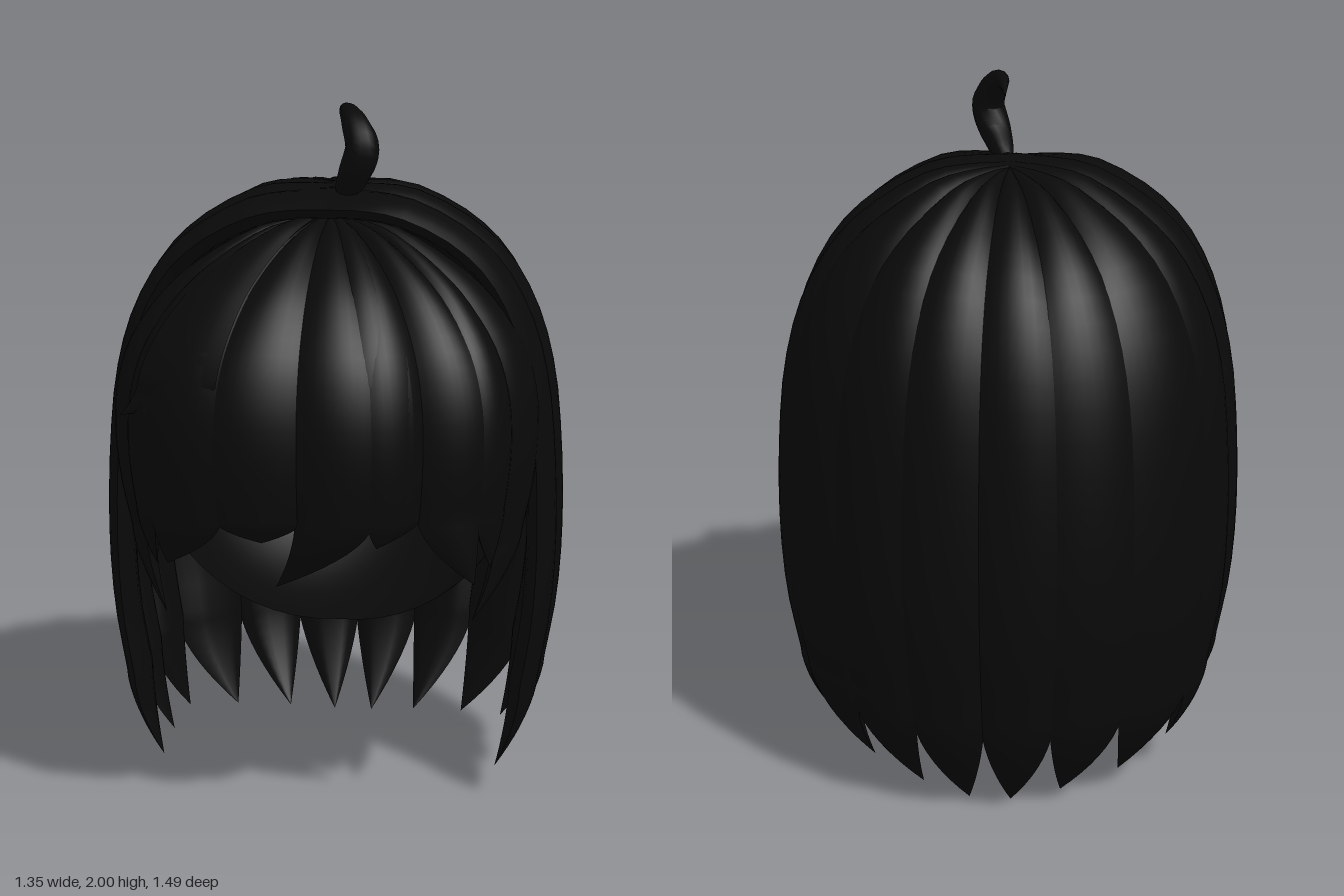
import * as THREE from 'three';

const hairBlack = new THREE.MeshStandardMaterial({ color: 0x090909, side: THREE.DoubleSide });
hairBlack.name = 'hairBlack';

const V = (x, y, z) => new THREE.Vector3(x, y, z);

// Skin a list of closed rings with equal point counts
function loft(name, rings) {
  const n = rings[0].length, pos = [], idx = [];
  rings.forEach(r => r.forEach(p => pos.push(p.x, p.y, p.z)));
  for (let i = 0; i < rings.length - 1; i++) {
    for (let j = 0; j < n; j++) {
      const a = i * n + j, b = i * n + (j + 1) % n;
      idx.push(a, a + n, b, b, a + n, b + n);
    }
  }
  const g = new THREE.BufferGeometry();
  g.setAttribute('position', new THREE.Float32BufferAttribute(pos, 3));
  g.setIndex(idx);
  g.computeVertexNormals();
  const m = new THREE.Mesh(g, hairBlack);
  m.name = name;
  return m;
}

// Profiles: x = share of the way from parting to widest outline, y = height
const curve = pts => new THREE.CatmullRomCurve3(pts.map(([r, y]) => V(r, y, 0)));
const longProfile = curve([[0, 1.765], [0.15, 1.757], [0.34, 1.73], [0.59, 1.645], [0.76, 1.54], [0.885, 1.39],
  [0.955, 1.22], [0.99, 1], [1, 0.75], [0.98, 0.54], [0.93, 0.35]]);
const fringeProfile = curve([[0, 1.7], [0.33, 1.645], [0.6, 1.56], [0.77, 1.475], [0.92, 1.35],
  [0.985, 1.23], [1, 1.1], [0.975, 0.95], [0.93, 0.82]]);

// Point pushed away from the middle of the head
function push(p, d) {
  const c = V(0, Math.min(p.y, 1.1), -0.05);
  return p.clone().add(p.clone().sub(c).normalize().multiplyScalar(d));
}

// One strand between two edges; each edge = { root: [y, z], wide: [x, z] }
function strand(name, profile, a, b, tip, { end = 1, bulge = 0.028, thick = 0.05, lift = 0 } = {}) {
  const ACROSS = 8, ROWS = 24, TIPROWS = 9;
  const top = profile.getPoint(0).y;
  const edgePoint = (e, q) => V(
    e.wide[0] * q.x,
    q.y + (e.root[0] - top) * (1 - q.x),
    THREE.MathUtils.lerp(e.root[1], e.wide[1], q.x));
  const ringAt = t => {
    const q = profile.getPoint(t * end), A = edgePoint(a, q), B = edgePoint(b, q);
    const outer = [], inner = [];
    for (let j = 0; j <= ACROSS; j++) {
      const s = j / ACROSS, w = 2 * s - 1;
      const p = A.clone().lerp(B, -0.04 + 1.08 * s);
      outer.push(push(p, lift + bulge * (1 - w * w) * Math.min(1, q.x * 3)));
      inner.unshift(push(p, lift - thick * (1 - w ** 4)));
    }
    return outer.concat(inner);
  };
  const rings = [];
  for (let i = 0; i <= ROWS; i++) rings.push(ringAt(i / ROWS));
  const last = rings[ROWS], T = V(...tip);
  // leaf-shaped point: height falls evenly, sides close in late
  for (let i = 1; i <= TIPROWS; i++) {
    const u = i / TIPROWS, k = u ** 1.65;
    rings.push(last.map(p => V(
      THREE.MathUtils.lerp(p.x, T.x, k),
      THREE.MathUtils.lerp(p.y, T.y, u),
      THREE.MathUtils.lerp(p.z, T.z, k))));
  }
  return loft(name, rings);
}

export function createModel() {
  const model = new THREE.Group();
  model.name = 'hair';

  // Long back and side hair, mirrored about the parting
  const long = new THREE.Group();
  long.name = 'longHair';
  const longEdges = [
    [1.765, -0.07, 0, -0.725], [1.765, -0.07, 0.21, -0.715], [1.765, -0.07, 0.41, -0.615],
    [1.77, -0.06, 0.595, -0.41], [1.77, -0.02, 0.645, -0.165], [1.765, 0.1, 0.645, 0.05],
    [1.72, 0.27, 0.605, 0.28]];
  const longTips = [[0.06, 0, -0.52], [0.2, 0.02, -0.48], [0.36, 0.05, -0.39],
    [0.49, 0.09, -0.24], [0.5, 0.09, -0.01], [0.49, 0.09, 0.22]];
  for (const s of [1, -1]) {
    const edges = longEdges.map(([y, z, x, zw]) => ({ root: [y, z], wide: [x * s, zw] }));
    longTips.forEach(([x, y, z], i) => {
      long.add(strand(i < 3 ? 'backStrand' : 'sideStrand', longProfile, edges[i], edges[i + 1], [x * s, y, z]));
    });
  }
  model.add(long);

  // Inner cap lining the back of the hair
  const cap = new THREE.Mesh(new THREE.SphereGeometry(1, 40, 28, Math.PI - 0.25, Math.PI + 0.5), hairBlack);
  cap.name = 'innerCap';
  cap.scale.set(0.59, 0.63, 0.6);
  cap.position.set(0, 1.07, -0.06);
  model.add(cap);

  // Fringe, fanned out from under the front of the long hair
  const fringe = new THREE.Group();
  fringe.name = 'fringe';
  const fringeEdge = (x, z) => ({ root: [1.7, 0.12], wide: [x, z] });
  const outline = [[-0.6, 0.25], [-0.53, 0.45], [-0.45, 0.62], [-0.25, 0.72], [-0.03, 0.71],
    [0.17, 0.71], [0.3, 0.62], [0.46, 0.57], [0.53, 0.45], [0.6, 0.25]].map(p => fringeEdge(...p));
  const fringeTips = [[-0.43, 0.6, 0.46], [-0.45, 0.75, 0.49], [-0.4, 0.78, 0.6], [-0.13, 0.86, 0.67],
    [-0.1, 0.72, 0.6], [0.18, 0.85, 0.66], [0.44, 0.73, 0.56], [0.48, 0.76, 0.48], [0.43, 0.6, 0.46]];
  fringeTips.forEach((tip, i) => {
    const temple = i === 0 || i === 8;
    fringe.add(strand(temple ? 'templeStrand' : 'fringeStrand', fringeProfile, outline[i], outline[i + 1], tip,
      { end: temple ? 1 : 0.9, bulge: 0.025, thick: 0.04 }));
  });
  // loose strands lying over the fringe
  fringe.add(strand('looseStrand', fringeProfile, fringeEdge(-0.48, 0.59), fringeEdge(-0.26, 0.71),
    [-0.535, 1.18, 0.55], { end: 0.57, bulge: 0.02, thick: 0.02, lift: 0.012 }));
  fringe.add(strand('looseStrand', fringeProfile, fringeEdge(0.12, 0.7), fringeEdge(0.27, 0.65),
    [0.2, 0.86, 0.66], { end: 0.84, bulge: 0.02, thick: 0.02, lift: 0.01 }));
  model.add(fringe);

  // Curled tuft on the crown
  const path = new THREE.CatmullRomCurve3([V(0.03, 1.75, 0.09), V(0.07, 1.81, 0.175), V(0.095, 1.885, 0.198),
    V(0.07, 1.95, 0.16), V(0.035, 1.982, 0.06), V(0.01, 1.965, -0.07)]);
  const rings = [];
  for (let i = 0; i <= 28; i++) {
    const t = i / 28, c = path.getPoint(t), tan = path.getTangent(t);
    const across = V(1, 0, 0).addScaledVector(tan, -tan.x).normalize();
    const depth = new THREE.Vector3().crossVectors(tan, across);
    const size = 0.025 * (1 - t) + 0.046 * Math.sin(Math.PI * Math.min(1, t ** 0.85)) * (1 - 0.4 * t);
    rings.push(Array.from({ length: 12 }, (_, j) => {
      const a = j / 12 * Math.PI * 2;
      return c.clone().addScaledVector(across, Math.cos(a) * size * 0.9)
        .addScaledVector(depth, Math.sin(a) * size);
    }));
  }
  model.add(loft('crownTuft', rings));

  return model;
}
